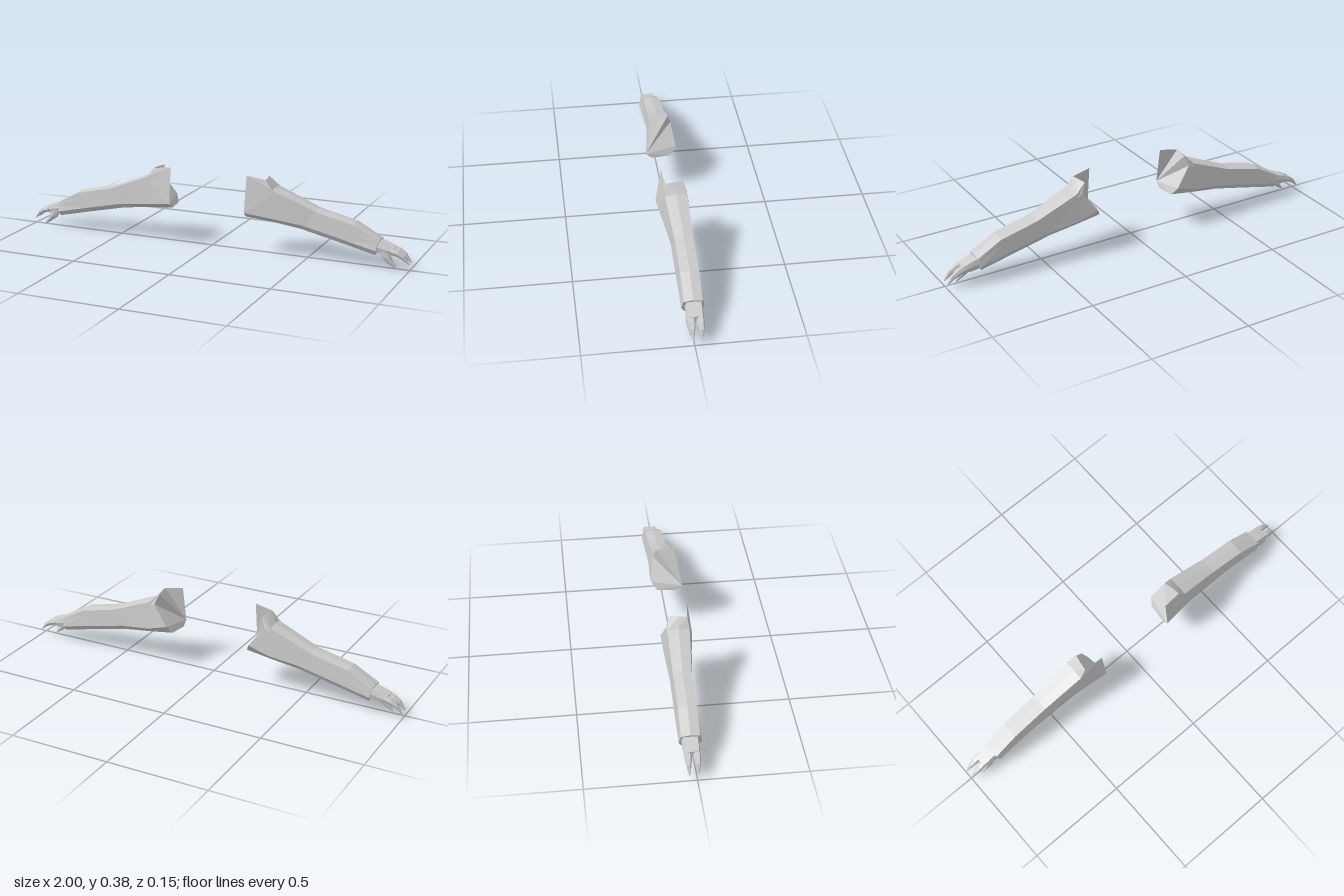
import * as THREE from 'three';

const material = new THREE.MeshStandardMaterial({ color: 0xcccccc, flatShading: true });

// Skins a row of rings (equal point counts) and closes both ends; side = -1 mirrors in x.
function loft(name, rings, side, pivot = 0) {
  const n = rings[0].length, pos = [];
  const tri = (a, b, c) => {
    for (const p of side > 0 ? [a, b, c] : [a, c, b]) pos.push(p[0] * side, p[1], p[2]);
  };
  for (let i = 0; i < rings.length - 1; i++) {
    for (let j = 0; j < n; j++) {
      const k = (j + 1) % n;
      const a = rings[i][j], b = rings[i][k], c = rings[i + 1][j], d = rings[i + 1][k];
      tri(a, b, c);
      tri(b, d, c);
    }
  }
  const first = rings[0], last = rings[rings.length - 1];
  for (let j = 1; j < n - 1; j++) {
    const p = (pivot + j) % n, q = (pivot + j + 1) % n;
    tri(first[pivot], first[q], first[p]);
    tri(last[pivot], last[p], last[q]);
  }
  const geometry = new THREE.BufferGeometry();
  geometry.setAttribute('position', new THREE.Float32BufferAttribute(pos, 3));
  geometry.computeVertexNormals();
  const mesh = new THREE.Mesh(geometry, material);
  mesh.name = name;
  return mesh;
}

const mix = (a, b, t) => a.map((v, i) => v + (b[i] - v) * t);

// Arm ring: flat top with a faint ridge, sloping flanks, narrow underside.
function armRing([tx, ty, tf, tb], [sx, sy, sf, sb], [bx, by], t) {
  const topF = [tx, ty - 0.006, tf], topB = [tx, ty - 0.006, tb];
  const sideF = [sx, sy, sf], sideB = [sx, sy, sb];
  return [
    [tx, ty, (tf + tb) / 2], topF, mix(topF, sideF, t), sideF,
    [bx, by, 0.025], [bx, by, -0.05],
    sideB, mix(topB, sideB, t), topB,
  ];
}

// Six-sided ring between an upper and a lower edge point.
function digitRing([tx, ty, bx, by, w], z) {
  const mx = (tx + bx) / 2, my = (ty + by) / 2, h = w * 0.6;
  return [
    [tx, ty, z + h], [mx, my, z + w], [bx, by, z + h],
    [bx, by, z - h], [mx, my, z - w], [tx, ty, z - h],
  ];
}
const digit = (name, rows, z, side) => loft(name, rows.map((r) => digitRing(r, z)), side);

function makeArm(side) {
  const arm = new THREE.Group();
  arm.name = side > 0 ? 'leftArm' : 'rightArm';

  // Flared shoulder opening, notched at the back
  const shoulder = [
    [0.29, 0.372, 0], [0.295, 0.37, 0.04], [0.2, 0.385, 0.05], [0.197, 0.205, 0.076],
    [0.195, 0.18, 0.045], [0.205, 0.182, -0.05],
    [0.225, 0.22, -0.078], [0.3, 0.32, -0.06], [0.28, 0.37, -0.045],
  ];
  // Forearm tapering to the wrist
  arm.add(loft('forearm', [
    shoulder,
    armRing([0.33, 0.33, 0.047, -0.058], [0.33, 0.187, 0.058, -0.073], [0.33, 0.163], 0.15),
    armRing([0.54, 0.245, 0.03, -0.056], [0.49, 0.165, 0.04, -0.065], [0.47, 0.145], 0.3),
    armRing([0.73, 0.2, 0.03, -0.056], [0.69, 0.12, 0.04, -0.065], [0.66, 0.103], 0.3),
    armRing([0.853, 0.133, 0.03, -0.056], [0.843, 0.085, 0.04, -0.065], [0.838, 0.062], 0.3),
  ], side, 3));

  // Flat palm
  const palm = [[0.84, 0.127, 0.075, 0.025, -0.055], [0.89, 0.112, 0.068, 0.025, -0.054],
    [0.925, 0.1, 0.072, 0.022, -0.05]];
  arm.add(loft('palm', palm.map(([x, t, b, f, k]) => [
    [x, t, f - 0.007], [x, (t + b) / 2, f], [x, b, f - 0.005],
    [x, b, k + 0.005], [x, (t + b) / 2, k], [x, t, k + 0.007],
  ]), side));

  // Two curved fingers and a thumb claw beneath
  const finger = [[0.9, 0.108, 0.9, 0.07, 0.018], [0.945, 0.09, 0.935, 0.064, 0.017],
    [0.973, 0.07, 0.962, 0.052, 0.012], [1, 0.03, 0.996, 0.026, 0.002]];
  arm.add(digit('frontFinger', finger, 0.006, side));
  arm.add(digit('backFinger', finger, -0.035, side));
  const thumb = [[0.9, 0.085, 0.85, 0.083, 0.015], [0.906, 0.06, 0.872, 0.045, 0.017],
    [0.918, 0.038, 0.9, 0.024, 0.012], [0.941, 0.006, 0.938, 0, 0.002]];
  arm.add(digit('thumb', thumb, 0.01, side));
  return arm;
}

export function createModel() {
  const model = new THREE.Group();
  model.name = 'pairOfArms';
  for (const side of [1, -1]) model.add(makeArm(side));
  return model;
}
